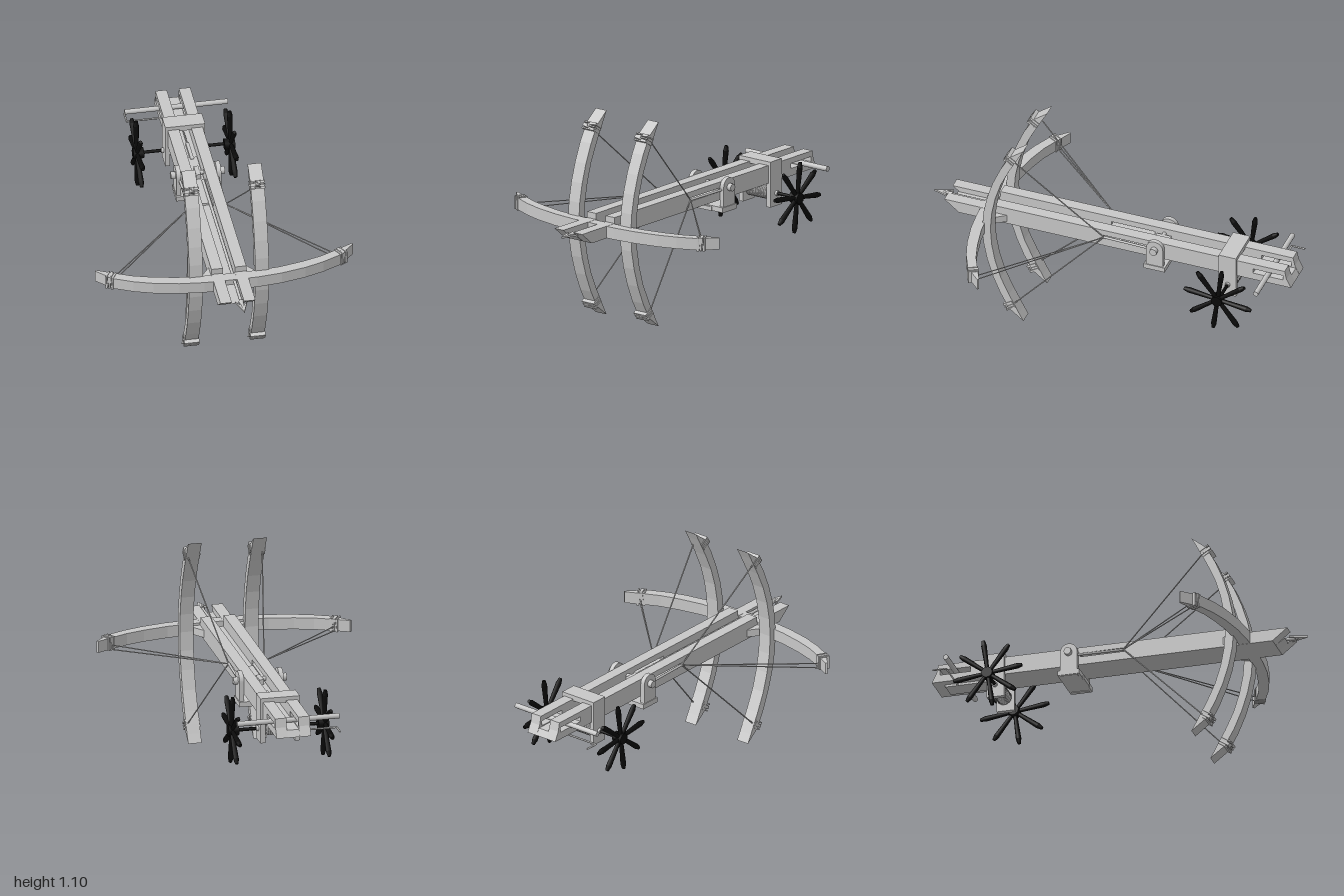
import * as THREE from 'three';

const mat = (name, color) => {
  const m = new THREE.MeshStandardMaterial({ color });
  m.name = name;
  return m;
};

export function createModel() {
  const root = new THREE.Group();
  const wood = mat('light grey', 0xc8c8c8);
  const black = mat('black iron', 0x0a0a0a);

  const add = (name, geo, material = wood, parent = root) => {
    const m = new THREE.Mesh(geo, material);
    m.name = name;
    parent.add(m);
    return m;
  };
  // Box given by its limits
  const box = (name, x0, x1, y0, y1, z0, z1) =>
    add(name, new THREE.BoxGeometry(x1 - x0, y1 - y0, z1 - z0)
      .translate((x0 + x1) / 2, (y0 + y1) / 2, (z0 + z1) / 2));
  // Round rod between two points
  const rod = (name, a, b, r, material = wood, rEnd = r, sides = 10) => {
    const p = new THREE.Vector3(...a), q = new THREE.Vector3(...b);
    const d = q.clone().sub(p);
    const m = add(name, new THREE.CylinderGeometry(rEnd, r, d.length(), sides), material);
    m.position.copy(p).add(q).multiplyScalar(0.5);
    m.quaternion.setFromUnitVectors(new THREE.Vector3(0, 1, 0), d.normalize());
    return m;
  };
  const cord = (name, a, b, r = 0.0035) => rod(name, a, b, r, wood, r, 6);
  const outline = (pts) => new THREE.Shape(pts.map(([a, b]) => new THREE.Vector2(a, b)));
  const extrude = (shape, depth) =>
    new THREE.ExtrudeGeometry(shape, { depth, bevelEnabled: false, curveSegments: 10 });
  // Side profile in (z, y), extruded across x
  const sidePlate = (name, shape, x, width) =>
    add(name, extrude(shape, width).rotateY(-Math.PI / 2).translate(x + width / 2, 0, 0));
  // Top profile in (x, z), extruded downwards from a height
  const flatPlate = (name, shape, top, height) =>
    add(name, extrude(shape, height).rotateX(Math.PI / 2).translate(0, top, 0));

  // Stock: two slotted rails and the channel floor
  const slot = (z0, z1, y0, y1) =>
    new THREE.Path([[z0, y0], [z0, y1], [z1, y1], [z1, y0]].map((p) => new THREE.Vector2(...p)));
  for (const s of [-1, 1]) {
    const rail = outline([[0.84, 0.515], [0.92, 0.58], [0.655, 0.58], [0.655, 0.612],
      [-0.965, 0.612], [-0.975, 0.565], [-1, 0.515]]);
    rail.holes.push(slot(-0.955, -0.79, 0.555, 0.582), slot(-0.2, 0.04, 0.56, 0.58));
    sidePlate('rail', rail, s * 0.062, 0.06);
  }
  sidePlate('channelFloor', outline([[0.84, 0.515], [0.89, 0.55], [-0.98, 0.55], [-1, 0.515]]), 0, 0.066);

  // Bow outline from the outer and inner edge of one half, as (along, forward)
  const bowPoints = (outer, inner) => [
    ...outer, ...[...inner].reverse(),
    ...inner.slice(1).map(([a, b]) => [-a, b]),
    ...[...outer].reverse().slice(0, -1).map(([a, b]) => [-a, b]),
  ];
  // Rope turns lashed round a bow end, alternately crossed
  const wrap = (name, x, y, z, size, axis, angle) => {
    const g = new THREE.Group();
    g.name = name;
    for (let i = -2; i <= 2; i++) {
      const turn = add('ropeTurn', new THREE.BoxGeometry(...size), wood, g);
      turn.position[axis === 'x' ? 'y' : 'x'] = i * 0.009;
      turn.rotation.z = (i % 2) * 0.12;
    }
    g.position.set(x, y, z);
    g.rotation[axis] = angle;
    root.add(g);
  };

  // Two upright bows
  const upright = bowPoints(
    [[0, 0.665], [0.1, 0.658], [0.2, 0.638], [0.3, 0.607], [0.4, 0.565], [0.49, 0.515], [0.55, 0.437]],
    [[0, 0.62], [0.1, 0.613], [0.2, 0.594], [0.3, 0.563], [0.4, 0.517], [0.46, 0.485], [0.505, 0.462]])
    .map(([along, forward]) => [forward, along + 0.55]);
  for (const s of [-1, 1]) {
    sidePlate('uprightBow', outline(upright), s * 0.174, 0.072);
    for (const v of [-1, 1]) {
      wrap('uprightBowWrap', s * 0.174, 0.55 + v * 0.47, 0.515, [0.08, 0.007, 0.056], 'x', -v * 0.58);
      cord('bowstring', [s * 0.095, 0.57, 0.035], [s * 0.2, 0.55 + v * 0.465, 0.5]);
    }
  }

  // Level bow
  flatPlate('levelBow', outline(bowPoints(
    [[0, 0.72], [0.14, 0.718], [0.27, 0.705], [0.4, 0.678], [0.5, 0.645], [0.6, 0.598], [0.68, 0.515]],
    [[0, 0.66], [0.14, 0.658], [0.27, 0.647], [0.4, 0.62], [0.5, 0.59], [0.58, 0.553], [0.672, 0.508]])),
  0.579, 0.063);
  for (const s of [-1, 1]) {
    wrap('levelBowWrap', s * 0.605, 0.547, 0.567, [0.007, 0.072, 0.056], 'y', s * 0.5);
    for (const y of [0.515, 0.54])
      cord('bowstring', [s * 0.095, 0.57, 0.035], [s * 0.6, y, 0.55], 0.003);
    // Corner brace between stock and bow
    flatPlate('cornerBrace', outline([[s * 0.09, 0.57], [s * 0.155, 0.66], [s * 0.09, 0.66]]), 0.567, 0.04);
  }

  // Bolt lying in the channel, with barbed head
  rod('boltShaft', [0.02, 0.567, -0.2], [0.02, 0.567, 0.95], 0.008, wood, 0.008, 8);
  flatPlate('boltHead', outline([[0.02, 1], [0.052, 0.905], [0.034, 0.935], [0.02, 0.92],
    [0.006, 0.935], [-0.012, 0.905]]), 0.572, 0.01);
  rod('boltHeadRidge', [0.02, 0.567, 0.9], [0.02, 0.567, 0.995], 0.014, wood, 0.002, 8);

  // Slider, draw rope and string bars
  box('slider', -0.028, 0.028, 0.55, 0.562, -0.42, 0);
  box('catch', -0.012, 0.012, 0.56, 0.59, -0.3, -0.22);
  box('draftHook', -0.009, 0.009, 0.55, 0.565, -0.55, -0.4);
  cord('drawRope', [0, 0.557, -0.66], [0, 0.557, -0.42], 0.004);
  for (const s of [-1, 1])
    cord('pullRod', [s * 0.093, 0.57, 0.035], [s * 0.1, 0.57, -0.21], 0.007);

  // Middle bracket with rounded cheeks and pin
  const cheek = new THREE.Shape();
  cheek.moveTo(-0.3, 0.45);
  cheek.lineTo(-0.208, 0.45);
  cheek.lineTo(-0.208, 0.585);
  cheek.absarc(-0.254, 0.585, 0.046, 0, Math.PI);
  for (const s of [-1, 1]) {
    sidePlate('bracketCheek', cheek, s * 0.106, 0.024);
    rod('pinHead', [s * 0.115, 0.58, -0.254], [s * 0.142, 0.58, -0.254], 0.02);
  }
  rod('bracketPin', [-0.12, 0.58, -0.254], [0.12, 0.58, -0.254], 0.012);
  box('bracketBase', -0.122, 0.122, 0.453, 0.48, -0.312, -0.195);
  box('bracketTab', -0.05, 0.05, 0.452, 0.474, -0.2, -0.19);

  // Rear frame carrying the windlass
  box('frameCap', -0.105, 0.105, 0.602, 0.632, -0.7, -0.605);
  for (const s of [-1, 1])
    box('frameLeg', s * 0.092 - 0.013, s * 0.092 + 0.013, 0.387, 0.632, -0.7, -0.605);
  rod('windlassDrum', [-0.07, 0.455, -0.655], [0.07, 0.455, -0.655], 0.034, wood, 0.034, 14);
  for (let i = -6; i <= 6; i++)
    add('ropeCoil', new THREE.TorusGeometry(0.035, 0.006, 6, 16).rotateY(Math.PI / 2)
      .translate(i * 0.0105, 0.455, -0.655));

  // Spoked hand wheels on stub axles
  for (const s of [-1, 1]) {
    const x = s * 0.247;
    rod('axleStub', [s * 0.1, 0.455, -0.655], [s * 0.24, 0.455, -0.655], 0.009, black);
    rod('axleCollar', [s * 0.1, 0.455, -0.655], [s * 0.118, 0.455, -0.655], 0.014);
    rod('wheelHub', [s * 0.212, 0.455, -0.652], [s * 0.268, 0.455, -0.652], 0.03, black);
    for (let i = 0; i < 8; i++) {
      const a = -0.13 + (i * Math.PI) / 4;
      const at = (r) => [x, 0.457 + r * Math.cos(a), -0.652 + r * Math.sin(a)];
      rod('wheelSpoke', at(0), at(0.16), 0.01, black, 0.015, 8);
      rod('spokeTip', at(0.16), at(0.187), 0.015, black, 0.009, 8);
    }
  }

  // Rear cross bar and trigger lever
  rod('crossBar', [-0.272, 0.567, -0.872], [0.272, 0.567, -0.872], 0.014);
  rod('leverShaft', [-0.26, 0.505, -0.872], [-0.05, 0.505, -0.872], 0.005, wood, 0.005, 6);
  rod('leverHandle', [-0.26, 0.505, -0.87], [-0.26, 0.505, -0.945], 0.005, wood, 0.005, 6);
  box('leverPlate', -0.05, 0.05, 0.503, 0.515, -0.94, -0.72);

  return root;
}
